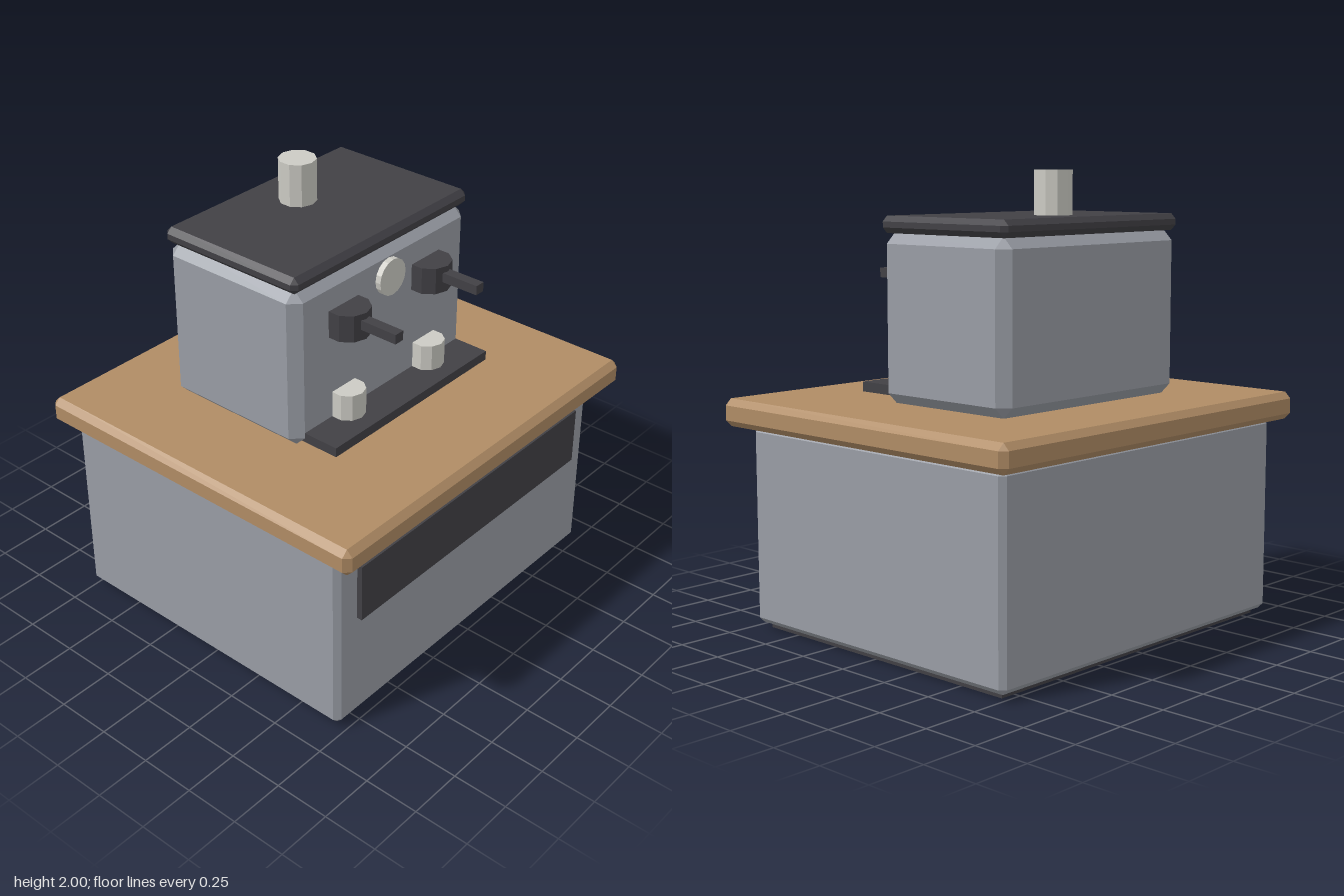
import * as THREE from 'three';
import { ConvexGeometry } from 'three/addons/geometries/ConvexGeometry.js';

const material = (name, color) => {
  const m = new THREE.MeshStandardMaterial({ color, flatShading: true });
  m.name = name;
  return m;
};

// Box with a flat bevel along every edge
function bevelBox(w, h, d, b) {
  const points = [];
  for (const x of [-w / 2, w / 2])
    for (const y of [-h / 2, h / 2])
      for (const z of [-d / 2, d / 2]) {
        const ix = x - Math.sign(x) * b, iy = y - Math.sign(y) * b, iz = z - Math.sign(z) * b;
        points.push(new THREE.Vector3(x, iy, iz), new THREE.Vector3(ix, y, iz), new THREE.Vector3(ix, iy, z));
      }
  return new ConvexGeometry(points);
}

export function createModel() {
  const steel = material('greySteel', 0x999da5);
  const dark = material('darkPlastic', 0x414045);
  const wood = material('wood', 0xb08c65);
  const pale = material('paleMetal', 0xcccbc4);

  const model = new THREE.Group();
  model.name = 'coffeeStation';

  const add = (name, geometry, mat, x, y, z) => {
    const mesh = new THREE.Mesh(geometry, mat);
    mesh.name = name;
    mesh.position.set(x, y, z);
    model.add(mesh);
    return mesh;
  };
  // Block given by its extents, bevelled when b is set
  const block = (name, mat, [x0, x1], [y0, y1], [z0, z1], b = 0) => {
    const w = x1 - x0, h = y1 - y0, d = z1 - z0;
    const geometry = b ? bevelBox(w, h, d, b) : new THREE.BoxGeometry(w, h, d);
    return add(name, geometry, mat, (x0 + x1) / 2, (y0 + y1) / 2, (z0 + z1) / 2);
  };
  const drum = (name, mat, r, x, [y0, y1], z) =>
    add(name, new THREE.CylinderGeometry(r, r, y1 - y0, 10), mat, x, (y0 + y1) / 2, z);

  // Cabinet and counter
  block('plinth', dark, [-0.82, 0.82], [0, 0.04], [-0.72, 0.68]);
  block('cabinet', steel, [-0.867, 0.867], [0.025, 0.9], [-0.77, 0.73], 0.024);
  block('frontPanel', dark, [-0.747, 0.747], [0.533, 0.8], [0.7, 0.755]);
  block('counterTop', wood, [-0.94, 0.94], [0.895, 1.017], [-0.845, 0.845], 0.028);

  // Machine housing
  block('machineBody', steel, [-0.555, 0.555], [1.015, 1.742], [-0.48, 0.243], 0.048);
  block('lid', dark, [-0.555, 0.555], [1.737, 1.81], [-0.482, 0.243], 0.024);
  drum('topPipe', pale, 0.082, 0, [1.8, 2], -0.24);
  block('dripTray', dark, [-0.507, 0.507], [1.045, 1.088], [0.1, 0.412]);

  // Round gauge
  const gauge = add('gauge', new THREE.CylinderGeometry(0.082, 0.082, 0.026, 16), pale, 0, 1.62, 0.27);
  gauge.rotation.x = Math.PI / 2;

  // Brew heads with handles, and cups below
  for (const [side, x] of [['left', 0.265], ['right', -0.265]]) {
    drum(side + 'BrewHead', dark, 0.096, x, [1.475, 1.595], 0.268);
    block(side + 'Handle', dark, [x - 0.024, x + 0.024], [1.524, 1.567], [0.3, 0.533]);
    drum(side + 'Cup', pale, 0.076, x, [1.085, 1.207], 0.268);
  }
  return model;
}
